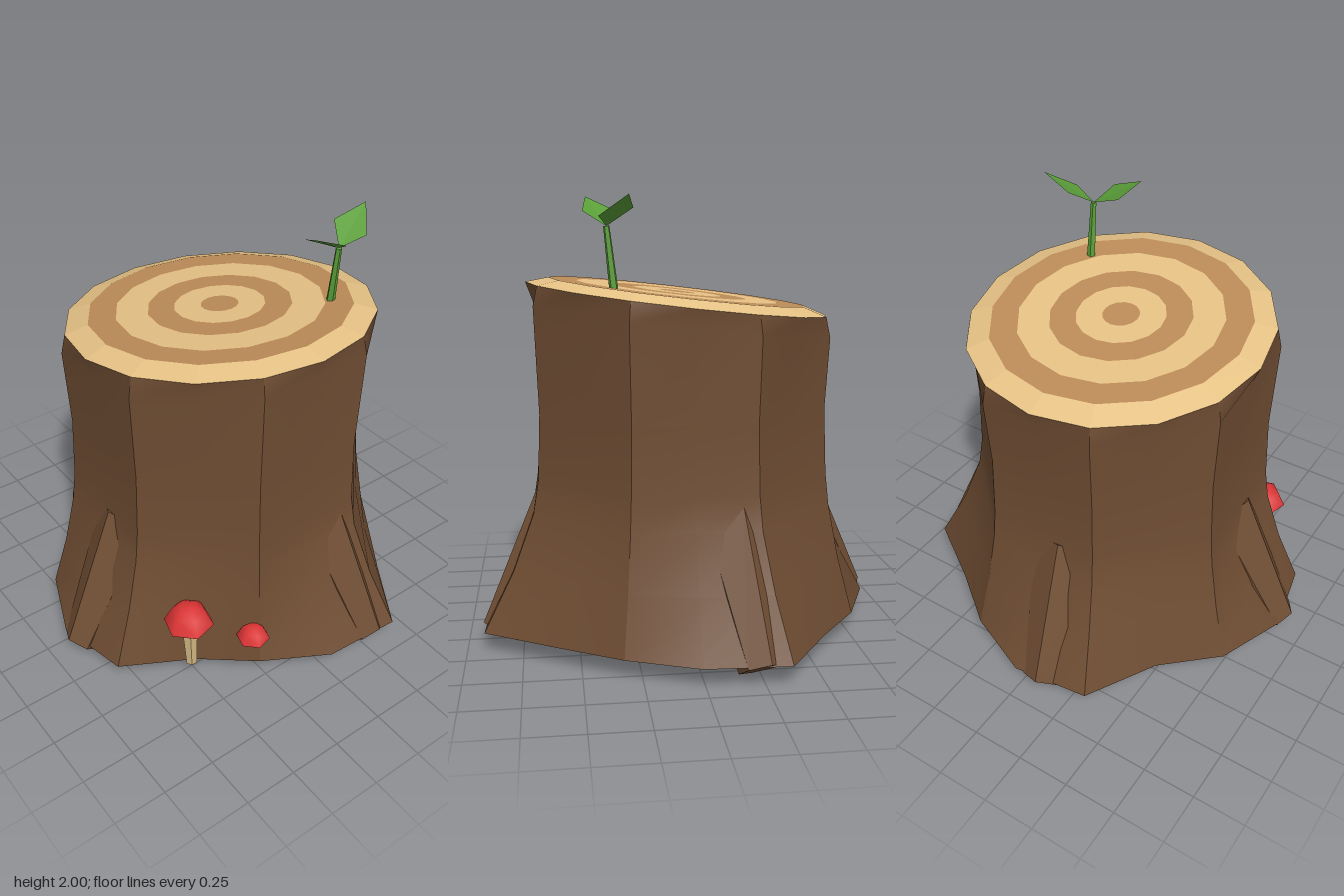
import * as THREE from 'three';

const CX = 0.013, CZ = -0.025, SLOPE = 0.115, RIM = 1.54;
const BARK = 0x6f4d33, LIGHT = 0xe6c285, DARK = 0xbd8c58, RED = 0xdb3434, GREEN = 0x5a9e38, CREAM = 0xd2b680;

function mesh(name, geometry, color, options = {}) {
  const m = new THREE.Mesh(geometry, new THREE.MeshStandardMaterial({ color, side: THREE.DoubleSide, ...options }));
  m.name = name;
  return m;
}

// Flared outline at the foot, one radius per 22.5 degrees starting at the front
const FOOT = [0.925, 0.92, 0.75, 0.78, 0.89, 0.985, 0.83, 0.82, 0.89, 0.98, 0.83, 0.85, 0.925, 0.955, 0.78, 0.86];
// [height, half width of the octagon, share of foot flare]
const RINGS = [[0.085, 0.66, 1], [0.35, 0.665, 0.45], [0.6, 0.665, 0.07], [0.75, 0.658, 0], [1.05, 0.647, 0], [RIM - 0.09, 0.665, 0], [RIM, 0.7, 0]];

function barkPoint(i, j) {
  const k = i % 16, a = (i * Math.PI) / 8;
  const [y, half, flare] = RINGS[j];
  const last = j === RINGS.length - 1;
  const corner = k % 2 && !last ? 1 / Math.cos(Math.PI / 8) : 1;
  const r = THREE.MathUtils.lerp(half * corner, FOOT[k], flare);
  const x = CX + r * Math.sin(a);
  // the upper rings follow the slanted cut
  return [x, y + (j >= RINGS.length - 2 ? SLOPE * x : 0), CZ + r * Math.cos(a)];
}

// Eight bark panels, smooth inside and sharp where they meet
function barkGeometry() {
  const pos = [], index = [], rows = RINGS.length;
  for (let p = 0; p < 8; p++) {
    const base = pos.length / 3;
    for (let j = 0; j < rows; j++) {
      for (let c = 0; c < 3; c++) pos.push(...barkPoint(p * 2 + 15 + c, j));
    }
    for (let j = 0; j < rows - 1; j++) {
      for (let c = 0; c < 2; c++) {
        const a = base + j * 3 + c, d = a + 3;
        index.push(a, a + 1, d + 1, a, d + 1, d);
      }
    }
  }
  const g = new THREE.BufferGeometry();
  g.setAttribute('position', new THREE.Float32BufferAttribute(pos, 3));
  g.setIndex(index);
  g.computeVertexNormals();
  return g;
}

// One growth ring, sheared to the slanted cut
function growthRing(outer, inner, y0, y1) {
  const g = new THREE.LatheGeometry([new THREE.Vector2(outer, y0), new THREE.Vector2(inner, y1)], 16);
  g.translate(CX, RIM, CZ);
  const p = g.attributes.position;
  for (let i = 0; i < p.count; i++) p.setY(i, p.getY(i) + SLOPE * p.getX(i));
  g.computeVertexNormals();
  return g;
}

// Tapered post between two points
function post(from, to, r0, r1, sides) {
  const a = new THREE.Vector3(...from), b = new THREE.Vector3(...to);
  const d = b.clone().sub(a);
  const g = new THREE.CylinderGeometry(r1, r0, d.length(), sides);
  g.applyQuaternion(new THREE.Quaternion().setFromUnitVectors(new THREE.Vector3(0, 1, 0), d.normalize()));
  const mid = a.add(b).multiplyScalar(0.5);
  return g.translate(mid.x, mid.y, mid.z);
}

// Six-sided root leaning out from the trunk, ridge outward, facing the given angle
function root(degrees) {
  const g = post([0, 0.05, 0.873], [0, 0.65, 0.525], 0.1, 0.178, 6);
  g.rotateY(THREE.MathUtils.degToRad(degrees));
  g.translate(CX, 0, CZ);
  return mesh('root', g, BARK, { flatShading: true });
}

function mushroom(name, radius, height, capAt, foot, stemRadius) {
  const group = new THREE.Group();
  group.name = name;
  const profile = [[1, 0], [0.7, 0.7], [0.35, 0.97], [0, 1]];
  const cap = mesh('mushroomCap', new THREE.LatheGeometry(
    profile.map(([r, y]) => new THREE.Vector2(r * radius, y * height)), 6), RED);
  cap.position.set(...capAt);
  cap.rotation.y = Math.PI / 12;
  const top = [capAt[0], capAt[1] + height * 0.6, capAt[2]];
  group.add(cap, mesh('mushroomStem', post(foot, top, stemRadius * 0.6, stemRadius, 6), CREAM, { flatShading: true }));
  return group;
}

// Kite-shaped leaf folded along its midrib
function leaf(base, right, tip, left) {
  const g = new THREE.BufferGeometry();
  g.setAttribute('position', new THREE.Float32BufferAttribute([...base, ...tip, ...right, ...base, ...left, ...tip], 3));
  g.computeVertexNormals();
  return mesh('leaf', g, GREEN);
}

export function createModel() {
  const model = new THREE.Group();
  model.name = 'treeStump';
  model.add(mesh('bark', barkGeometry(), BARK));

  // Cut face with alternating growth rings
  const radii = [0.7, 0.595, 0.47, 0.325, 0.205, 0.085, 0];
  for (let i = 0; i < 6; i++) {
    const g = growthRing(radii[i], radii[i + 1], i ? 0.032 : 0, 0.032);
    model.add(mesh('growthRing', g, i % 2 ? DARK : LIGHT, { flatShading: true }));
  }

  for (const angle of [5, 107, 197, 278]) model.add(root(angle));

  model.add(mushroom('largeMushroom', 0.116, 0.098, [0.525, 0.333, 0.53], [0.54, 0.085, 0.53], 0.045));
  model.add(mushroom('smallMushroom', 0.078, 0.065, [0.706, 0.245, 0.298], [0.69, 0.205, 0.298], 0.028));

  // Sprout with two leaves
  const sprout = new THREE.Group();
  sprout.name = 'sprout';
  const joint = [0.36, 1.872, -0.4];
  sprout.add(mesh('sproutStem', post([0.328, 1.58, -0.4], joint, 0.021, 0.014, 5), GREEN, { flatShading: true }));
  sprout.add(leaf(joint, [0.46, 1.936, -0.35], [0.44, 2, -0.19], [0.32, 1.943, -0.24]));
  sprout.add(leaf(joint, [0.25, 1.948, -0.465], [0.28, 2, -0.62], [0.4, 1.913, -0.52]));
  model.add(sprout);
  return model;
}
